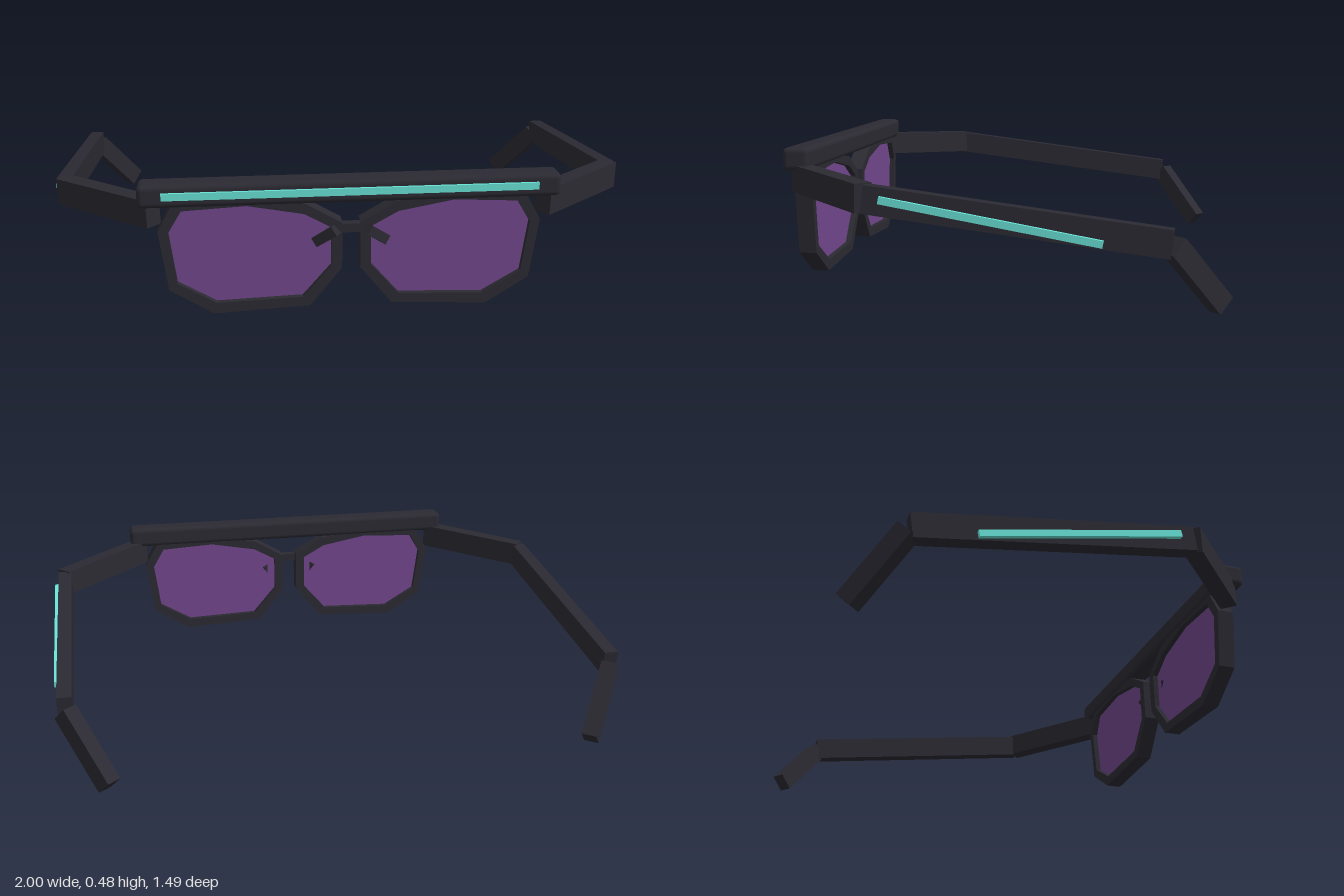
import * as THREE from 'three';
import { RoundedBoxGeometry } from 'three/addons/geometries/RoundedBoxGeometry.js';

const mat = (name, color) => new THREE.MeshStandardMaterial({ name, color });

export function createModel() {
  const frameMat = mat('charcoal', 0x2b2a32);
  const lensMat = mat('purple', 0x72478d);
  const glowMat = mat('teal', 0x68e2d6);
  const model = new THREE.Group();
  model.name = 'glasses';

  const add = (parent, name, geometry, material, x = 0, y = 0, z = 0) => {
    const mesh = new THREE.Mesh(geometry, material);
    mesh.name = name;
    mesh.position.set(x, y, z);
    parent.add(mesh);
    return mesh;
  };

  // Box of width w and height h running from point a to point b
  const beam = (parent, name, a, b, w, h, material) => {
    const start = new THREE.Vector3(...a);
    const end = new THREE.Vector3(...b);
    const mid = start.clone().add(end).multiplyScalar(0.5);
    const mesh = add(parent, name, new THREE.BoxGeometry(w, h, start.distanceTo(end)),
      material, mid.x, mid.y, mid.z);
    mesh.lookAt(end);
  };

  const toPoints = (list) => list.map(([x, y]) => new THREE.Vector2(x, y));
  const outer = toPoints([[0.628, 0.326], [0.575, 0.422], [0.34, 0.435], [0.15, 0.405],
    [0.03, 0.335], [0.03, 0.176], [0.136, 0.043], [0.457, 0.027], [0.6, 0.118]]);
  const inner = toPoints([[0.595, 0.318], [0.55, 0.393], [0.34, 0.404], [0.155, 0.37],
    [0.065, 0.32], [0.065, 0.185], [0.16, 0.075], [0.445, 0.065], [0.572, 0.14]]);

  // Brow bar with its light strip, and the nose bridge
  add(model, 'browBar', new RoundedBoxGeometry(1.375, 0.078, 0.09, 2, 0.018), frameMat, 0, 0.45, 0.686);
  add(model, 'browLight', new THREE.BoxGeometry(1.22, 0.024, 0.02), glowMat, 0, 0.453, 0.73);
  add(model, 'bridge', new THREE.BoxGeometry(0.13, 0.03, 0.03), frameMat, 0, 0.315, 0.69);

  // Each side is built on +x, then mirrored for -x
  for (const side of [1, -1]) {
    const half = new THREE.Group();
    half.name = side > 0 ? 'leftHalf' : 'rightHalf';

    // Rim and lens
    const rim = new THREE.Shape(outer);
    rim.holes.push(new THREE.Path(inner));
    add(half, 'rim', new THREE.ExtrudeGeometry(rim, { depth: 0.06, bevelEnabled: false }),
      frameMat, 0, 0, 0.647);
    add(half, 'lens', new THREE.ExtrudeGeometry(new THREE.Shape(inner), { depth: 0.02, bevelEnabled: false }),
      lensMat, 0, 0, 0.667);

    // Nose pad
    beam(half, 'nosePad', [0.05, 0.315, 0.715], [0.113, 0.264, 0.68], 0.04, 0.034, frameMat);

    // Hinge, temple arm and ear hook
    beam(half, 'hinge', [0.64, 0.384, 0.685], [0.964, 0.366, 0.385], 0.06, 0.092, frameMat);
    beam(half, 'templeArm', [0.96, 0.364, 0.385], [0.96, 0.242, -0.556], 0.05, 0.089, frameMat);
    beam(half, 'earHook', [0.96, 0.235, -0.56], [0.834, 0.03, -0.712], 0.052, 0.07, frameMat);

    // Light strip on the arm
    beam(half, 'armLight', [0.99, 0.364, 0.33], [0.99, 0.241, -0.35], 0.02, 0.023, glowMat);

    half.scale.x = side;
    model.add(half);
  }
  return model;
}
